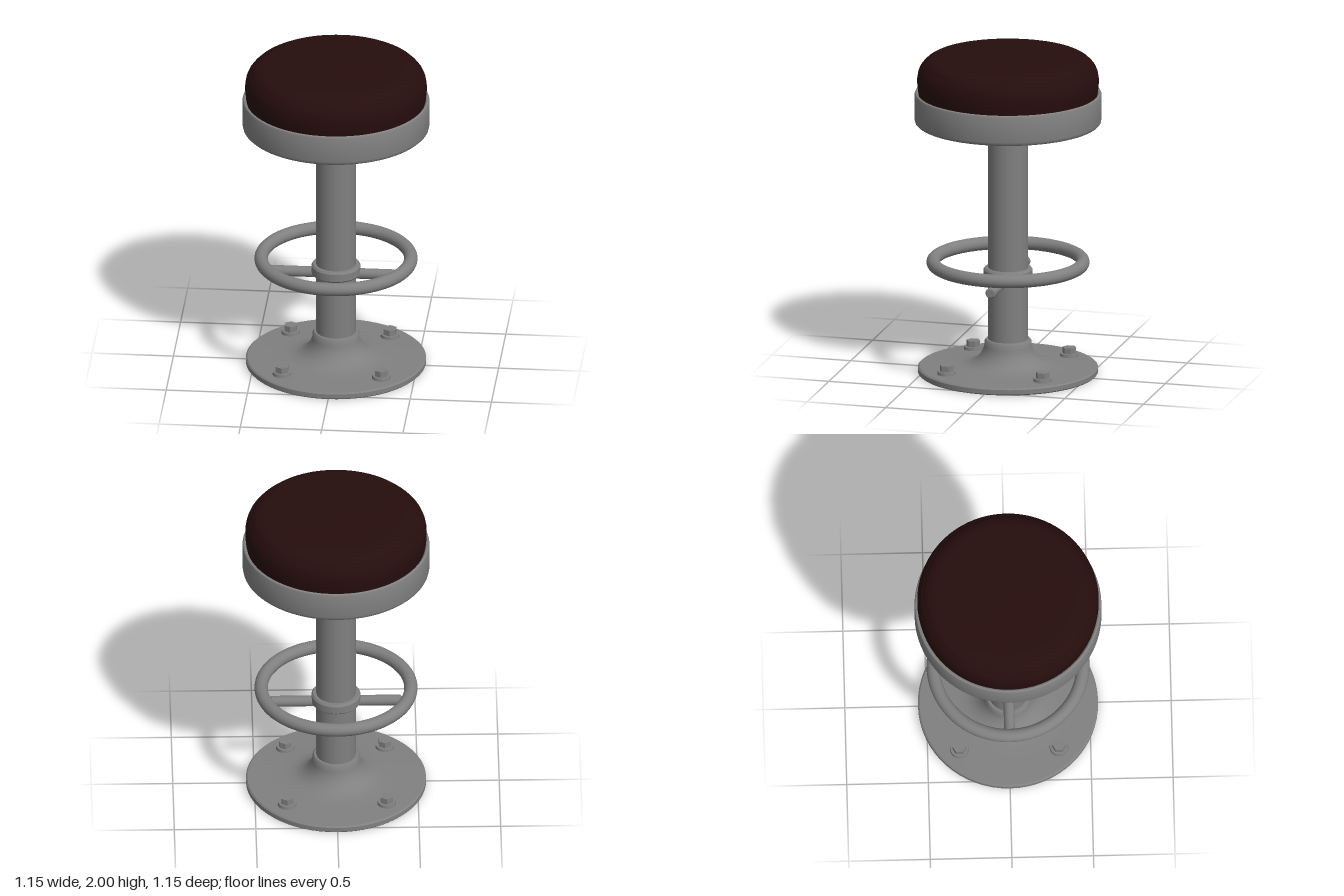
import * as THREE from 'three';
import { toCreasedNormals } from 'three/addons/utils/BufferGeometryUtils.js';

const metal = new THREE.MeshStandardMaterial({ color: 0x808080 });
metal.name = 'grey metal';
const leather = new THREE.MeshStandardMaterial({ color: 0x260d0d });
leather.name = 'dark red leather';

function part(name, geometry, material = metal) {
  const mesh = new THREE.Mesh(geometry, material);
  mesh.name = name;
  return mesh;
}

// Solid of revolution from [radius, height] pairs, listed bottom to top
function turned(points, segments = 64) {
  const profile = points.map(([r, y]) => new THREE.Vector2(r, y));
  return toCreasedNormals(new THREE.LatheGeometry(profile, segments), 0.6);
}

// Round bar along x with chamfered ends
function handleBar(halfLength, radius) {
  const c = 0.008;
  return turned([
    [0, -halfLength], [radius - c, -halfLength], [radius, -halfLength + c],
    [radius, halfLength - c], [radius - c, halfLength], [0, halfLength],
  ], 20).rotateZ(Math.PI / 2);
}

// Washer with a hexagonal head
function createBolt() {
  const bolt = new THREE.Group();
  bolt.name = 'bolt';
  const washer = part('washer', new THREE.CylinderGeometry(0.055, 0.058, 0.02, 24));
  washer.position.y = 0.055;
  const head = part('boltHead', toCreasedNormals(new THREE.CylinderGeometry(0.043, 0.043, 0.045, 6), 0.3));
  head.position.y = 0.08;
  bolt.add(washer, head);
  return bolt;
}

export function createModel() {
  const stool = new THREE.Group();
  stool.name = 'barStool';

  // Floor plate flaring up into the column socket
  stool.add(part('base', turned([
    [0, 0.005], [0.545, 0.005], [0.552, 0.012], [0.552, 0.04], [0.543, 0.048],
    [0.4, 0.052], [0.3, 0.056], [0.25, 0.064], [0.21, 0.082], [0.18, 0.108],
    [0.158, 0.14], [0.146, 0.175], [0.143, 0.208], [0.134, 0.22], [0.12, 0.22],
  ])));

  for (const x of [-0.305, 0.305]) {
    for (const z of [-0.305, 0.305]) {
      const bolt = createBolt();
      bolt.position.set(x, 0, z);
      stool.add(bolt);
    }
  }

  const column = part('column', new THREE.CylinderGeometry(0.122, 0.122, 1.42, 40, 1, true));
  column.position.y = 0.9;
  stool.add(column);

  // Clamp collar with its cross bar
  stool.add(part('collar', turned([
    [0.12, 0.598], [0.14, 0.598], [0.15, 0.608], [0.15, 0.655], [0.14, 0.668], [0.12, 0.668],
  ], 48)));
  const bar = part('crossBar', handleBar(0.403, 0.033));
  bar.position.y = 0.604;
  stool.add(bar);

  const ring = part('footRing', new THREE.TorusGeometry(0.459, 0.041, 20, 72).rotateX(Math.PI / 2));
  ring.position.y = 0.7;
  stool.add(ring);

  // Metal seat pan
  stool.add(part('seatPan', turned([
    [0, 1.588], [0.562, 1.588], [0.57, 1.596], [0.573, 1.61], [0.573, 1.765],
    [0.569, 1.775], [0.561, 1.779], [0.553, 1.775], [0.545, 1.76], [0, 1.76],
  ], 72)));

  // Padded cushion with a soft rounded rim and a seam
  stool.add(part('cushion', turned([
    [0.545, 1.75], [0.552, 1.79], [0.556, 1.83], [0.556, 1.87], [0.55, 1.905],
    [0.539, 1.932], [0.524, 1.952], [0.521, 1.951], [0.517, 1.959], [0.5, 1.975],
    [0.475, 1.989], [0.445, 1.997], [0.4, 2], [0, 2],
  ], 72), leather));

  // Rest the plate on the floor and keep the full height at 2
  stool.children[0].scale.y = 1;
  stool.children[0].position.y = -0.005;
  return stool;
}
